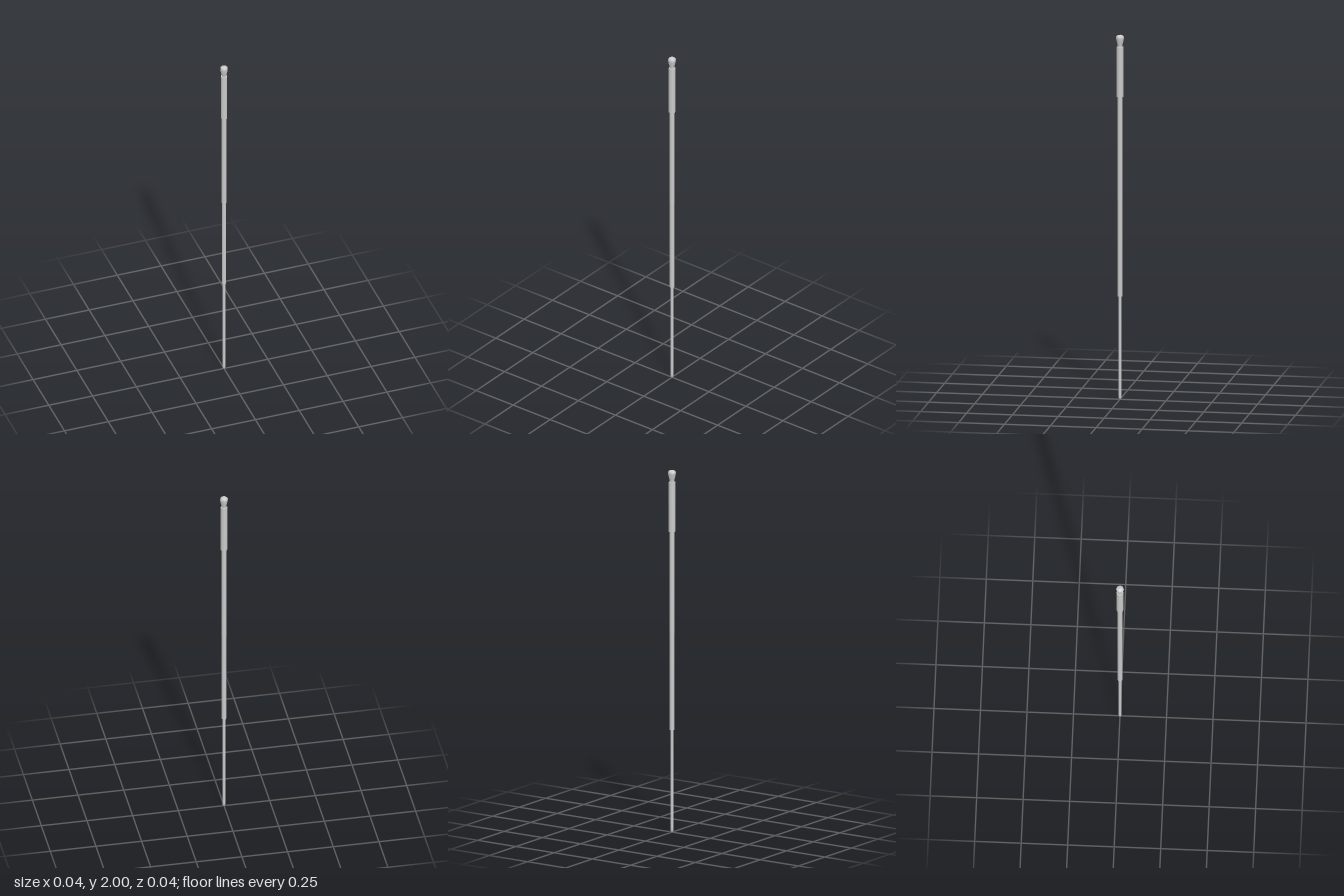
import * as THREE from 'three';

const SIDES = 8;
const material = new THREE.MeshStandardMaterial({ color: 0xcccccc });

// Straight or tapered rod section with closed ends
function section(name, y0, y1, r0, r1 = r0) {
  const mesh = new THREE.Mesh(new THREE.CylinderGeometry(r1, r0, y1 - y0, SIDES), material);
  mesh.name = name;
  mesh.position.y = (y0 + y1) / 2;
  return mesh;
}

// Turned part from a profile of [radius, height], listed from bottom to top
function turned(name, profile) {
  const points = profile.map(([r, y]) => new THREE.Vector2(r, y));
  const mesh = new THREE.Mesh(new THREE.LatheGeometry(points, SIDES), material);
  mesh.name = name;
  return mesh;
}

export function createModel() {
  const model = new THREE.Group();
  model.name = 'telescopicPole';

  // Telescoping tubes, thinnest at the bottom
  model.add(section('lowerTube', 0.025, 0.57, 0.0085));
  model.add(section('middleTube', 0.565, 1.105, 0.0125));
  model.add(section('upperTube', 1.1, 1.67, 0.014));

  // Thick handle
  model.add(section('grip', 1.66, 1.935, 0.0185));

  // Rounded foot
  model.add(turned('tip', [[0, 0], [0.006, 0.002], [0.0075, 0.01], [0.0085, 0.026]]));

  // Flared knob on a narrow neck
  model.add(turned('knob', [
    [0.013, 1.933], [0.0125, 1.943], [0.0155, 1.952], [0.0215, 1.98],
    [0.0205, 1.992], [0.014, 1.998], [0, 2],
  ]));
  return model;
}
